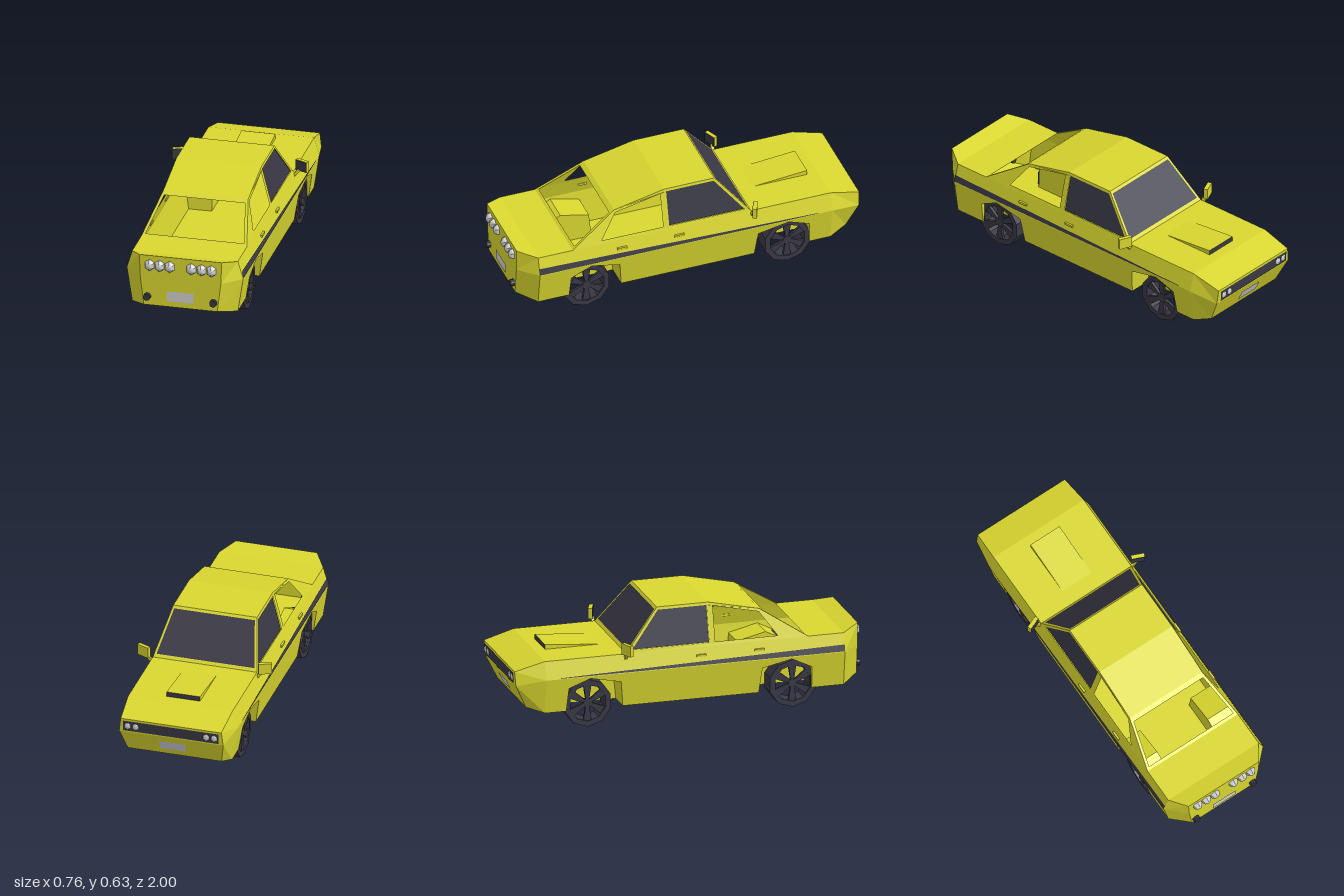
import * as THREE from 'three';

const material = (name, color, extra = {}) => {
  const m = new THREE.MeshStandardMaterial({ color, flatShading: true, side: THREE.DoubleSide, ...extra });
  m.name = name;
  return m;
};

export function createModel() {
  const car = new THREE.Group();
  car.name = 'car';
  const yellow = material('yellow paint', 0xd9d72f);
  const dark = material('dark rubber and glass', 0x393845);
  const grey = material('light grey', 0xcfcfcf);

  const add = (name, geometry, mat, parent = car) => {
    const mesh = new THREE.Mesh(geometry, mat);
    mesh.name = name;
    parent.add(mesh);
    return mesh;
  };
  // Flat panels from lists of four corners
  const panels = (name, quads, mat = yellow) => {
    const pos = quads.flatMap(([a, b, c, d]) => [a, b, c, a, c, d].flat());
    const g = new THREE.BufferGeometry();
    g.setAttribute('position', new THREE.Float32BufferAttribute(pos, 3));
    g.computeVertexNormals();
    return add(name, g, mat);
  };
  const flip = ([x, y, z]) => [-x, y, z];
  const mirror = quads => [...quads, ...quads.map(q => q.map(flip).reverse())];
  // Quad spanning both sides between two left-hand points
  const across = (a, b) => [a, b, flip(b), flip(a)];
  const loft = (A, B) => A.slice(1).map((p, i) => [A[i], p, B[i + 1], B[i]]);
  // Border quads between an outer and an inner outline
  const frame = (o, n) => o.map((p, i) => [p, o[(i + 1) % 4], n[(i + 1) % 4], n[i]]);
  // Shape drawn in (z, y) and pushed out to x by a rule
  const toShape = pts => new THREE.Shape(pts.map(p => new THREE.Vector2(...p)));
  const sideSheet = (name, shape, rule, mat = yellow) => {
    for (const s of [1, -1]) {
      const g = new THREE.ShapeGeometry(shape).toNonIndexed();
      const p = g.attributes.position;
      for (let i = 0; i < p.count; i++) {
        const z = p.getX(i), y = p.getY(i);
        p.setXYZ(i, s * rule(y, z), y, z);
      }
      g.computeVertexNormals();
      add(name, g, mat);
    }
  };

  // Lower flanks with wheel arches
  const low = y => 0.295 + (y - 0.105) / 0.195 * 0.03;
  const rearArch = [[0.39, 0.105], [0.405, 0.25], [0.57, 0.288], [0.685, 0.23], [0.69, 0.105]];
  const frontArch = [[-0.7, 0.105], [-0.69, 0.24], [-0.57, 0.288], [-0.395, 0.25], [-0.38, 0.105]];
  sideSheet('lowerFlank', toShape([[-0.82, 0.105], ...frontArch, ...rearArch,
    [0.87, 0.105], [0.87, 0.3], [-0.82, 0.3]]), low);
  const wellX = 0.165;
  for (const arch of [frontArch, rearArch]) {
    sideSheet('wheelWellWall', toShape(arch), () => wellX);
    panels('wheelWellLiner', mirror(loft(
      arch.map(([z, y]) => [low(y), y, z]), arch.map(([z, y]) => [wellX, y, z]))));
  }

  // Floor
  panels('floor', [
    across([wellX, 0.105, -0.82], [wellX, 0.105, 0.87]),
    ...mirror([[-0.82, -0.7], [-0.38, 0.39], [0.69, 0.87]].map(([a, b]) =>
      [[wellX, 0.105, a], [0.295, 0.105, a], [0.295, 0.105, b], [wellX, 0.105, b]])),
  ]);

  // Shoulders, nose and tail from half cross-sections
  const section = z => [[0.295, 0.4, z], [0.325, 0.3, z], [0.295, 0.105, z]];
  const front = section(-0.82), rear = section(0.87);
  const nose = [[0.285, 0.355, -0.99], [0.295, 0.275, -0.985], [0.265, 0.14, -0.92]];
  const tail = [[0.23, 0.428, 0.97], [0.225, 0.3, 0.97], [0.205, 0.135, 0.97]];
  panels('shoulder', mirror([[front[0], rear[0], rear[1], front[1]]]));
  panels('hood', [across([0.295, 0.4, -0.36], front[0]), across(front[0], nose[0])]);
  panels('nose', [...mirror(loft(front, nose)), across(nose[0], nose[1]),
    across(nose[1], nose[2]), across(nose[2], front[2])]);
  panels('rearDeck', [across([0.295, 0.4, 0.67], rear[0]), across(rear[0], tail[0])]);
  panels('tail', [...mirror(loft(rear, tail)), across(tail[0], tail[1]),
    across(tail[1], tail[2]), across(tail[2], rear[2])]);

  // Side stripe
  panels('sideStripe', mirror([[[0.327, 0.304, 0.87], [0.317, 0.34, 0.87],
    [0.3265, 0.307, -0.74], [0.327, 0.304, -0.74]]]), dark);

  // Cabin sides with door window and open quarter window
  const lean = (y, z) => 0.295 - 0.058 * Math.min(1, (y - 0.4) / (z > 0.3 ? 0.165 : 0.23));
  const doorWindow = [[0.11, 0.615], [0.11, 0.418], [-0.325, 0.418], [-0.165, 0.615]];
  const quarter = [[0.145, 0.608], [0.145, 0.418], [0.5, 0.418], [0.405, 0.55]];
  const cabinSide = toShape([[-0.36, 0.4], [-0.17, 0.63], [0.12, 0.63], [0.41, 0.565], [0.67, 0.4]]);
  cabinSide.holes.push(...[doorWindow, quarter].map(toShape));
  sideSheet('cabinSide', cabinSide, lean);
  sideSheet('doorGlass', toShape(doorWindow), (y, z) => lean(y, z) - 0.003, dark);

  // Roof, windscreen and open rear window
  panels('roof', [across([0.237, 0.63, -0.17], [0.237, 0.63, 0.12]),
    across([0.237, 0.63, 0.12], [0.237, 0.565, 0.41])]);
  const screen = across([0.237, 0.63, -0.17], [0.295, 0.4, -0.36]);
  const glass = across([0.228, 0.617, -0.181], [0.277, 0.416, -0.347]);
  panels('windscreenFrame', frame(screen, glass));
  panels('windscreen', [glass], dark);
  panels('rearWindowFrame', frame(across([0.237, 0.565, 0.41], [0.295, 0.4, 0.67]),
    across([0.226, 0.549, 0.435], [0.275, 0.41, 0.654])));

  // Hood scoop
  const [s0, s1, s2] = [[0.095, 0.4, -0.45], [0.095, 0.427, -0.76], [0.095, 0.4, -0.76]];
  panels('hoodScoop', [across(s0, s1), ...mirror([[s0, s1, s2, s2]])]);
  panels('scoopIntake', [across(s1, s2)], dark);

  // Grille and number plates
  panels('grille', [across([0.27, 0.345, -0.994], [0.27, 0.285, -0.991])], dark);
  panels('frontPlate', [across([0.073, 0.24, -0.973], [0.073, 0.18, -0.944])], grey);
  panels('rearPlate', [across([0.073, 0.227, 0.975], [0.073, 0.17, 0.975])], grey);

  // Faceted lamps
  const lamp = (name, x, y, z, r, depth, dir) => {
    const g = new THREE.SphereGeometry(1, 6, 4, 0, Math.PI * 2, 0, Math.PI / 2);
    g.rotateX(dir * Math.PI / 2).rotateZ(Math.PI / 2);
    g.scale(r * 0.86, r, depth);
    // Turn a corner of the hexagon upwards
    if (Math.abs(g.attributes.position.getY(28)) < 0.9 * r) g.scale(1 / 0.86, 1, 1).rotateZ(Math.PI / 6);
    add(name, g, grey).position.set(x, y, z);
  };
  for (const s of [1, -1]) {
    for (const x of [0.06, 0.117, 0.173]) lamp('tailLamp', s * x, 0.372, 0.97, 0.034, 0.028, 1);
    for (const x of [0.2, 0.245]) lamp('headLamp', s * x, 0.315, -0.988, 0.024, 0.012, -1);

    // Exhaust pipes
    const pipe = new THREE.CylinderGeometry(0.02, 0.02, 0.11, 10).rotateX(Math.PI / 2);
    add('exhaust', pipe, dark).position.set(s * 0.185, 0.187, 0.937);

    // Door handles
    for (const z of [0.39, 0.06]) {
      const handle = add('doorHandle', new THREE.BoxGeometry(0.014, 0.012, 0.055), yellow);
      handle.position.set(s * 0.311, 0.355, z);
    }

    // Door mirror
    const wing = new THREE.Group();
    wing.name = 'doorMirror';
    wing.position.set(s * 0.343, 0.437, -0.368);
    wing.rotation.y = -s * 0.4;
    add('mirrorCase', new THREE.BoxGeometry(0.074, 0.062, 0.022), yellow, wing);
    add('mirrorGlass', new THREE.BoxGeometry(0.07, 0.058, 0.004), dark, wing).position.z = 0.012;
    car.add(wing);
    const arm = add('mirrorArm', new THREE.BoxGeometry(0.016, 0.055, 0.016), yellow);
    arm.position.set(s * 0.31, 0.392, -0.365);
    arm.rotation.z = -s * 0.7;
  }

  // Wheels: ten-sided tyre, six spokes, hub
  const polar = (r, a) => [r * Math.sin(a), r * Math.cos(a)];
  const ring = r => Array.from({ length: 10 }, (_, i) => polar(r, i * Math.PI / 5));
  const slab = (shape, depth) => new THREE.ExtrudeGeometry(shape, { depth, bevelEnabled: false });
  const tyre = toShape(ring(0.135));
  tyre.holes.push(toShape(ring(0.104)));
  for (const s of [1, -1]) for (const z of [0.585, -0.575]) {
    const wheel = new THREE.Group();
    wheel.name = 'wheel';
    add('tyre', slab(tyre, 0.102), dark, wheel);
    const face = s > 0 ? 0.08 : 0.007;
    for (let i = 0; i < 6; i++) {
      const a = i * Math.PI / 3;
      const spoke = toShape([polar(0.015, a - 0.6), polar(0.106, a - 0.22), polar(0.106, a + 0.22), polar(0.015, a + 0.6)]);
      add('spoke', slab(spoke, 0.015), dark, wheel).position.z = face;
    }
    add('hub', slab(toShape(ring(0.025)), 0.02), dark, wheel).position.z = face - 0.002;
    wheel.rotation.y = Math.PI / 2;
    wheel.position.set(s > 0 ? 0.185 : -0.287, 0.137, z);
    car.add(wheel);
  }
  return car;
}
